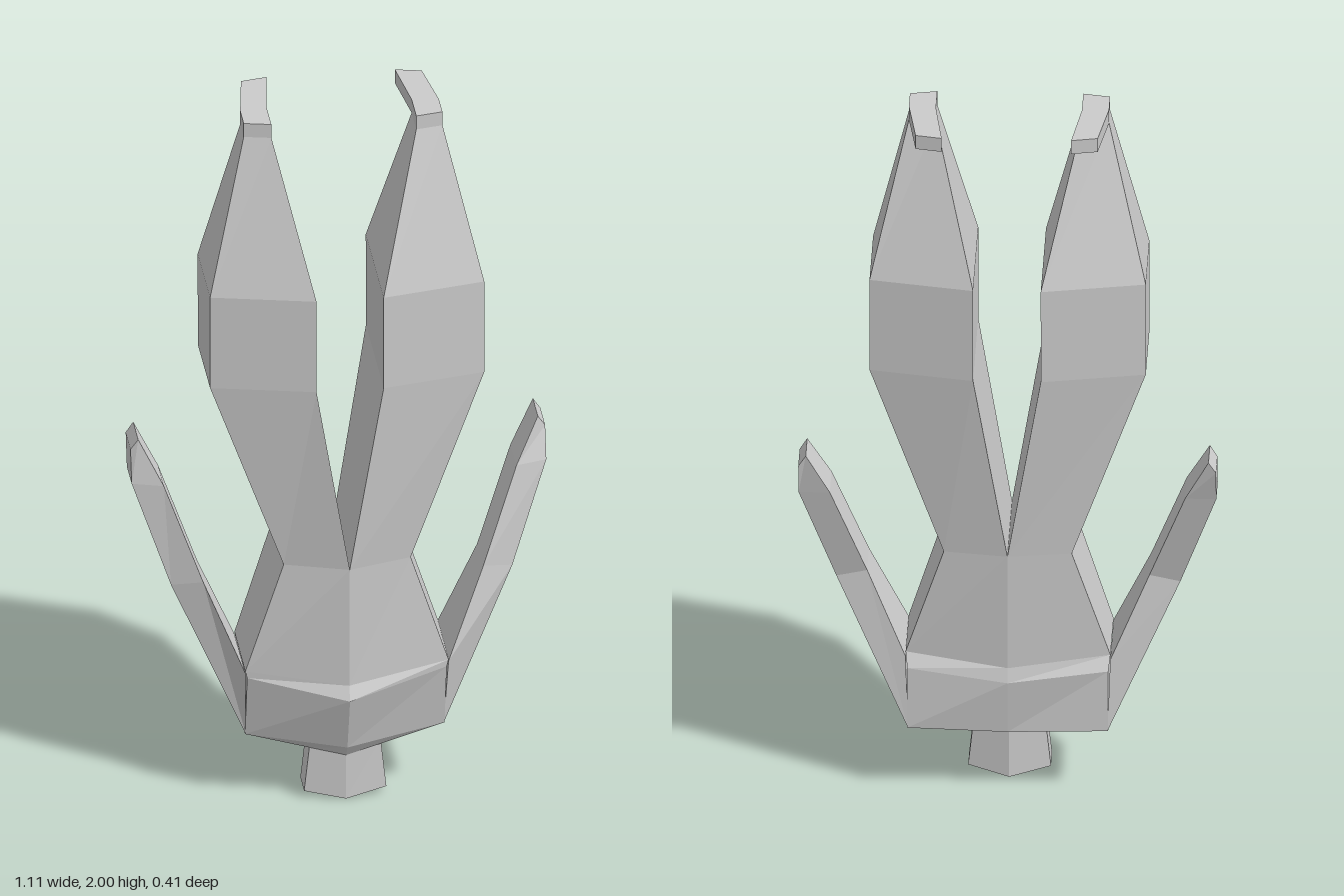
import * as THREE from 'three';

const material = new THREE.MeshStandardMaterial({ color: 0xcccccc, flatShading: true });

// Skins a stack of rings (counter-clockwise seen from the far end) and caps both ends.
function loft(name, rings) {
  const n = rings[0].length;
  const position = rings.flat(2);
  const index = [];
  for (let r = 0; r < rings.length - 1; r++) {
    for (let i = 0; i < n; i++) {
      const j = (i + 1) % n;
      const a = r * n + i, b = r * n + j, c = a + n, d = b + n;
      index.push(a, b, d, a, d, c);
    }
  }
  const top = (rings.length - 1) * n;
  for (let i = 1; i < n - 1; i++) {
    index.push(0, i + 1, i);
    index.push(top, top + i, top + i + 1);
  }
  const indexed = new THREE.BufferGeometry();
  indexed.setAttribute('position', new THREE.Float32BufferAttribute(position, 3));
  indexed.setIndex(index);
  const geometry = indexed.toNonIndexed();
  geometry.computeVertexNormals();
  const mesh = new THREE.Mesh(geometry, material);
  mesh.name = name;
  return mesh;
}

// Mirrors rings across x, reversing them to keep faces outward.
const mirror = (rings) => rings.map((ring) => ring.map(([x, y, z]) => [-x, y, z]).reverse());

// Symmetric six-point ring: front centre, front corner, back corner, back centre.
function ring6(front, cornerF, cornerB, back) {
  const flip = ([x, y, z]) => [-x, y, z];
  return [front, cornerF, cornerB, back, flip(cornerB), flip(cornerF)];
}

// Four-point leg ring: inner and outer x, with front and back z at each.
const legRing = (y, xi, xo, fi, fo, bo, bi) => [[xi, y, fi], [xo, y, fo], [xo, y, bo], [xi, y, bi]];

// Four-point arm ring: outer edge and inner edge, each [x, y, front z, back z].
const armRing = ([ox, oy, of, ob], [ix, iy, jf, jb]) =>
  [[ox, oy, of], [ox, oy, ob], [ix, iy, jb], [ix, iy, jf]];

export function createModel() {
  const model = new THREE.Group();
  model.name = 'invertedFigure';

  // Head, hanging lowest
  model.add(loft('head', [
    ring6([0, 0, 0.12], [0.11, 0.02, 0.1], [0.11, 0.02, 0.02], [0, 0, -0.01]),
    ring6([0, 0.16, 0.12], [0.095, 0.16, 0.1], [0.095, 0.16, 0.02], [0, 0.17, -0.01]),
  ]));

  // Torso, from the neck up to the hips
  model.add(loft('torso', [
    ring6([0, 0.13, 0.12], [0.1, 0.15, 0.1], [0.1, 0.15, 0.02], [0, 0.15, -0.01]),
    ring6([0, 0.165, 0.145], [0.267, 0.195, 0.09], [0.267, 0.195, -0.115], [0, 0.185, -0.11]),
    ring6([0, 0.33, 0.2], [0.267, 0.385, 0.135], [0.267, 0.37, -0.11], [0, 0.34, -0.13]),
    ring6([0, 0.37, 0.185], [0.272, 0.405, 0.135], [0.272, 0.41, -0.09], [0, 0.38, -0.12]),
    ring6([0, 0.72, 0.193], [0.17, 0.72, 0.14], [0.17, 0.72, -0.11], [0, 0.72, -0.135]),
  ]));

  const leg = [
    legRing(0.72, 0, 0.17, 0.193, 0.14, -0.11, -0.135),
    legRing(1.26, 0.09, 0.367, 0.2, 0.14, -0.115, -0.17),
    legRing(1.53, 0.09, 0.367, 0.2, 0.14, -0.118, -0.173),
    legRing(1.96, 0.194, 0.266, 0.07, 0.055, -0.02, -0.027),
  ];

  // Foot outline seen from above, pointing backwards
  const sole = [[0.194, -0.027], [0.194, 0.07], [0.266, 0.055], [0.266, -0.02], [0.242, -0.19], [0.172, -0.205]];
  const foot = [1.96, 2].map((y) => sole.map(([x, z]) => [x, y, z]));

  // Arm from shoulder to hand tip
  const arm = [
    armRing([0.265, 0.195, 0.09, -0.115], [0.272, 0.4, 0.135, -0.1]),
    armRing([0.457, 0.62, 0.025, -0.065], [0.375, 0.64, 0.06, -0.07]),
    armRing([0.555, 0.9, -0.03, -0.13], [0.472, 0.9, -0.005, -0.13]),
    armRing([0.555, 0.99, -0.055, -0.155], [0.535, 1.02, -0.05, -0.155]),
  ];

  for (const [name, rings] of Object.entries({ Leg: leg, Foot: foot, Arm: arm })) {
    model.add(loft('left' + name, rings));
    // Reversing the foot outline keeps its concave corner as the cap centre
    const other = mirror(rings).map((r) => [r[r.length - 1], ...r.slice(0, -1)]);
    model.add(loft('right' + name, other));
  }
  return model;
}
